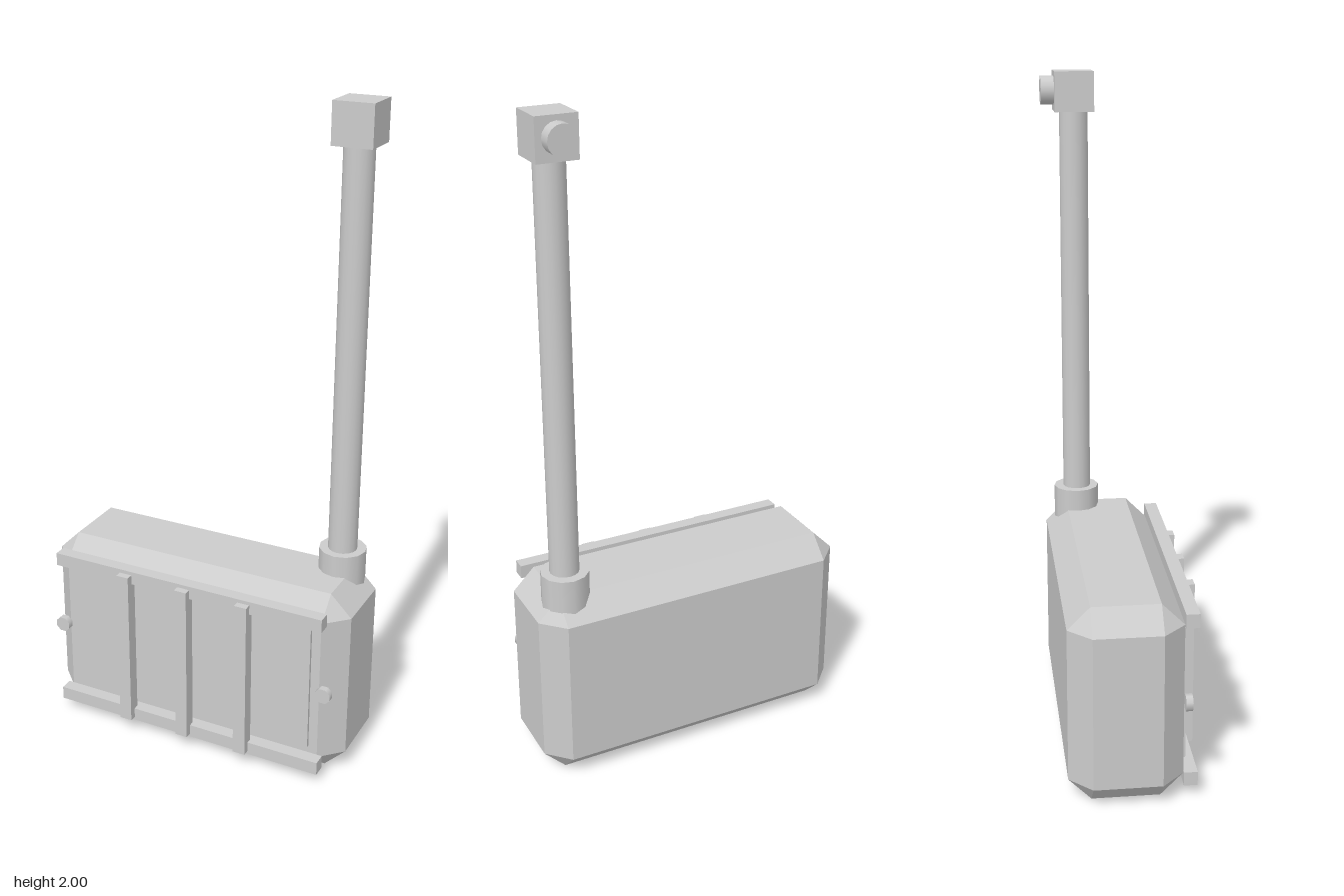
import * as THREE from 'three';
import { ConvexGeometry } from 'three/addons/geometries/ConvexGeometry.js';

export function createModel() {
  const root = new THREE.Group();
  root.name = 'tankWithMast';
  const grey = new THREE.MeshStandardMaterial({ color: 0xcccccc });
  grey.name = 'lightGrey';

  const add = (name, geometry, x, y, z) => {
    const mesh = new THREE.Mesh(geometry, grey);
    mesh.name = name;
    mesh.position.set(x, y, z);
    root.add(mesh);
    return mesh;
  };
  const box = (name, w, h, d, x, y, z) => add(name, new THREE.BoxGeometry(w, h, d), x, y, z);

  // Box with every edge chamfered and each corner cut to a triangle
  const chamferedBox = (w, h, d, c) => {
    const points = [];
    for (const sx of [-1, 1]) for (const sy of [-1, 1]) for (const sz of [-1, 1]) {
      const [x, y, z] = [w / 2, h / 2, d / 2];
      points.push(
        new THREE.Vector3(sx * x, sy * (y - c), sz * (z - c)),
        new THREE.Vector3(sx * (x - c), sy * y, sz * (z - c)),
        new THREE.Vector3(sx * (x - c), sy * (y - c), sz * z)
      );
    }
    return new ConvexGeometry(points);
  };

  // Tank body and raised front panel
  add('body', chamferedBox(1, 0.6, 0.333, 0.0667), 0, 0.3, -0.0315);
  box('frontPanel', 0.81, 0.41, 0.02, 0, 0.305, 0.135);

  // Front rack: two rails carrying three upright slats
  for (const y of [0.055, 0.55]) box('rail', 0.9, 0.042, 0.04, 0, y, 0.155);
  for (const x of [-0.2, 0, 0.2]) box('slat', 0.04, 0.515, 0.04, x, 0.302, 0.177);

  // Side knobs
  for (const s of [-1, 1]) {
    const knob = add('knob', new THREE.CylinderGeometry(0.025, 0.025, 0.02, 8), s * 0.452, 0.302, 0.145);
    knob.rotation.set(Math.PI / 2, Math.PI / 8, 0);
  }

  // Mast with collar
  add('collar', new THREE.CylinderGeometry(0.072, 0.072, 0.137, 12), 0.4, 0.6, -0.1);
  add('mast', new THREE.CylinderGeometry(0.044, 0.044, 1.3, 16), 0.4, 1.25, -0.098);

  // Mast head with rear outlet
  box('mastHead', 0.12, 0.12, 0.12, 0.4, 1.94, -0.099);
  const outlet = add('outlet', new THREE.CylinderGeometry(0.043, 0.043, 0.05, 16), 0.4, 1.942, -0.174);
  outlet.rotation.x = Math.PI / 2;

  return root;
}
